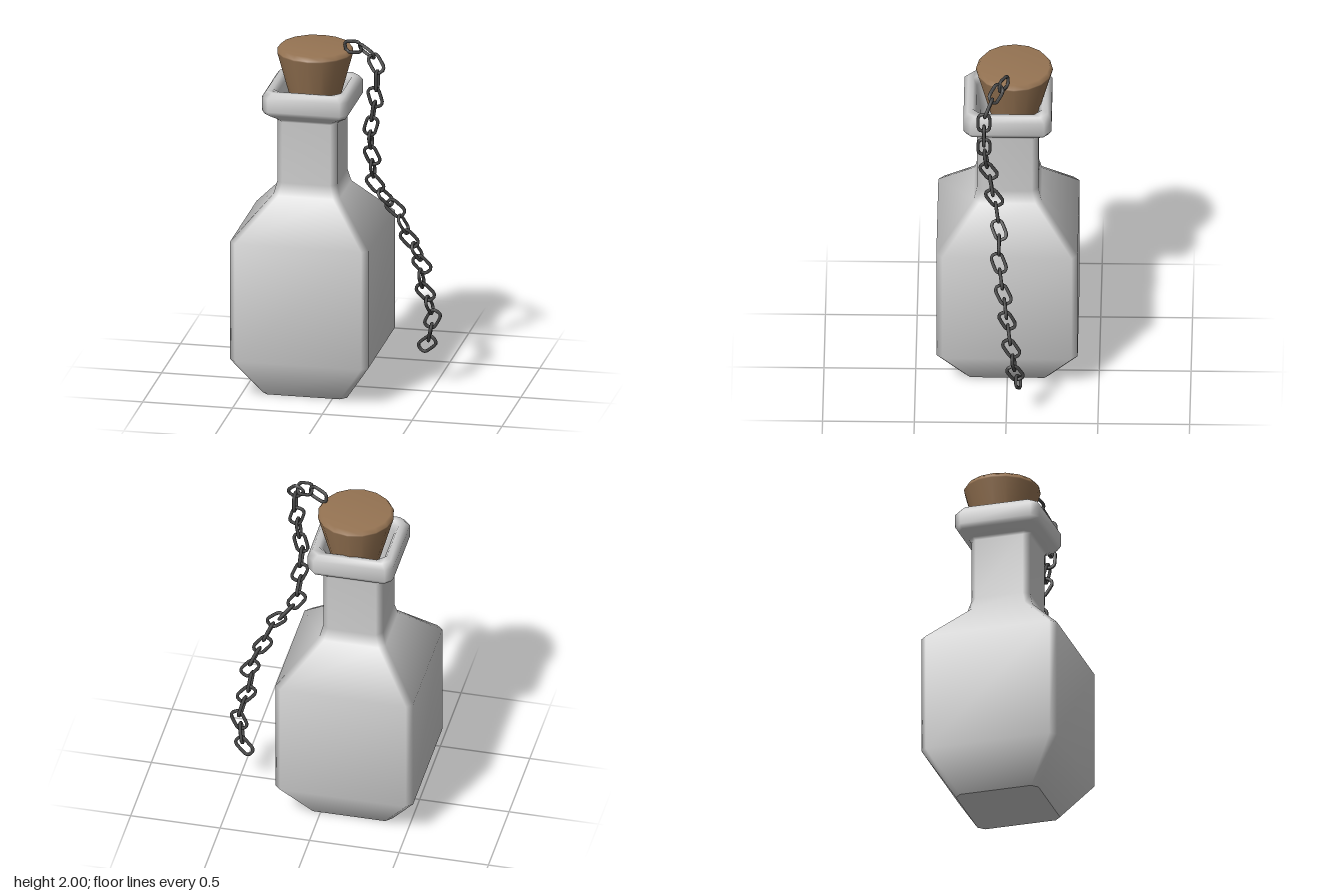
import * as THREE from 'three';

// Square tube with chamfered corners, lofted through rows of [halfWidth, y, chamfer].
// A repeated row keeps the edge there sharp.
function loftSquare(rows) {
  const pos = [], index = [];
  for (const [h, y, chamfer = 0.033] of rows) {
    const c = Math.min(chamfer, h * 0.5), k = h - c;
    const ring = [[h, -k], [k, -h], [-k, -h], [-h, -k], [-h, k], [-k, h], [k, h], [h, k]];
    for (const [x, z] of ring) pos.push(x, y, z);
  }
  for (let r = 0; r < rows.length - 1; r++) {
    for (let i = 0; i < 8; i++) {
      const a = r * 8 + i, b = r * 8 + (i + 1) % 8;
      index.push(a, b, b + 8, a, b + 8, a + 8);
    }
  }
  const geo = new THREE.BufferGeometry();
  geo.setAttribute('position', new THREE.Float32BufferAttribute(pos, 3));
  geo.setIndex(index);
  geo.computeVertexNormals();
  return geo;
}

// One chain link: a closed tube along a long octagon, lying in its xy plane
function linkGeometry() {
  const outline = [
    [0.031, -0.034], [0.031, 0.034], [0.016, 0.053], [-0.016, 0.053],
    [-0.031, 0.034], [-0.031, -0.034], [-0.016, -0.053], [0.016, -0.053],
  ].map(([x, y]) => new THREE.Vector3(x, y, 0));
  const path = new THREE.CatmullRomCurve3(outline, true, 'catmullrom', 0.3);
  return new THREE.TubeGeometry(path, 24, 0.0095, 6, true);
}

// Link centres from the cork down, each with its lean from straight down
const LINKS = [
  [0.07, 1.96, 0.02, 1.75], [0.155, 1.955, 0.06, -0.9],
  [0.215, 1.9, 0.1, 0.65], [0.225, 1.81, 0.125, 0],
  [0.215, 1.715, 0.125, 0.3], [0.205, 1.635, 0.125, 0],
  [0.19, 1.545, 0.115, -0.3], [0.185, 1.46, 0.1, 0.6],
  [0.19, 1.365, 0.085, 0.4], [0.19, 1.285, 0.07, 0.6],
  [0.2, 1.195, 0.055, 0.65], [0.255, 1.115, 0.042, 0.5],
  [0.31, 1.055, 0.042, 0.87], [0.355, 0.965, 0.042, 0.4],
  [0.385, 0.88, 0.03, 0.7], [0.425, 0.805, 0.016, 0.5],
  [0.45, 0.73, 0.005, 0.73], [0.445, 0.645, -0.005, 0.5],
  [0.465, 0.565, -0.015, 0.75], [0.485, 0.487, -0.027, 0.6],
  [0.5, 0.403, -0.04, -0.5], [0.485, 0.323, -0.048, 0.5],
  [0.465, 0.25, -0.065, -0.86],
];

function buildChain(material) {
  const chain = new THREE.Group();
  chain.name = 'chain';
  const geo = linkGeometry();
  const centres = LINKS.map(([x, y, z]) => new THREE.Vector3(x, y, z));
  LINKS.forEach(([, , , lean], i) => {
    const t = centres[Math.min(i + 1, centres.length - 1)].clone()
      .sub(centres[Math.max(i - 1, 0)]);
    const along = new THREE.Vector3(), face = new THREE.Vector3();
    // links alternate between facing front and facing sideways
    if (i % 2 === 0) {
      const m = Math.hypot(t.x, t.y);
      along.set(Math.sin(lean) * m, -Math.cos(lean) * m, t.z).normalize();
      face.set(0, 0, 1);
    } else {
      const m = Math.hypot(t.y, t.z);
      along.set(t.x, -Math.cos(lean) * m, -Math.sin(lean) * m).normalize();
      face.set(1, 0, 0);
    }
    const side = new THREE.Vector3().crossVectors(along, face).normalize();
    face.crossVectors(side, along);
    const link = new THREE.Mesh(geo, material);
    link.name = 'chainLink';
    link.quaternion.setFromRotationMatrix(new THREE.Matrix4().makeBasis(side, along, face));
    link.position.copy(centres[i]);
    chain.add(link);
  });
  return chain;
}

export function createModel() {
  const model = new THREE.Group();
  model.name = 'corkedBottle';
  const glass = new THREE.MeshStandardMaterial({ color: 0xcccccc });
  const corkMat = new THREE.MeshStandardMaterial({ color: 0x967453 });
  const metal = new THREE.MeshStandardMaterial({ color: 0x484848 });

  // Bottle: base, body, shoulder, neck, lip, then down the inside of the neck
  const bottle = new THREE.Mesh(loftSquare([
    [0.001, 0], [0.235, 0], [0.235, 0],
    [0.385, 0.23], [0.385, 0.905], [0.185, 1.13], [0.167, 1.2],
    [0.167, 1.55], [0.178, 1.565], [0.225, 1.6], [0.24, 1.625, 0.04],
    [0.24, 1.7, 0.04], [0.219, 1.73, 0.04], [0.19, 1.73, 0.045],
    [0.172, 1.7, 0.05], [0.15, 1.56, 0.05], [0.15, 1.3, 0.05],
    [0.15, 1.3, 0.05], [0.001, 1.3],
  ]), glass);
  bottle.name = 'bottle';
  bottle.position.x = -0.16;
  model.add(bottle);

  // Tapered cork with a softened top edge
  const corkProfile = [
    [0, 1.55], [0.105, 1.55], [0.117, 1.565], [0.209, 1.9], [0.209, 1.908], [0.193, 1.93], [0, 1.93],
  ].map(([r, y]) => new THREE.Vector2(r, y));
  const cork = new THREE.Mesh(new THREE.LatheGeometry(corkProfile, 16), corkMat);
  cork.name = 'cork';
  cork.position.set(-0.152, 0, -0.035);
  model.add(cork);

  model.add(buildChain(metal));
  return model;
}
